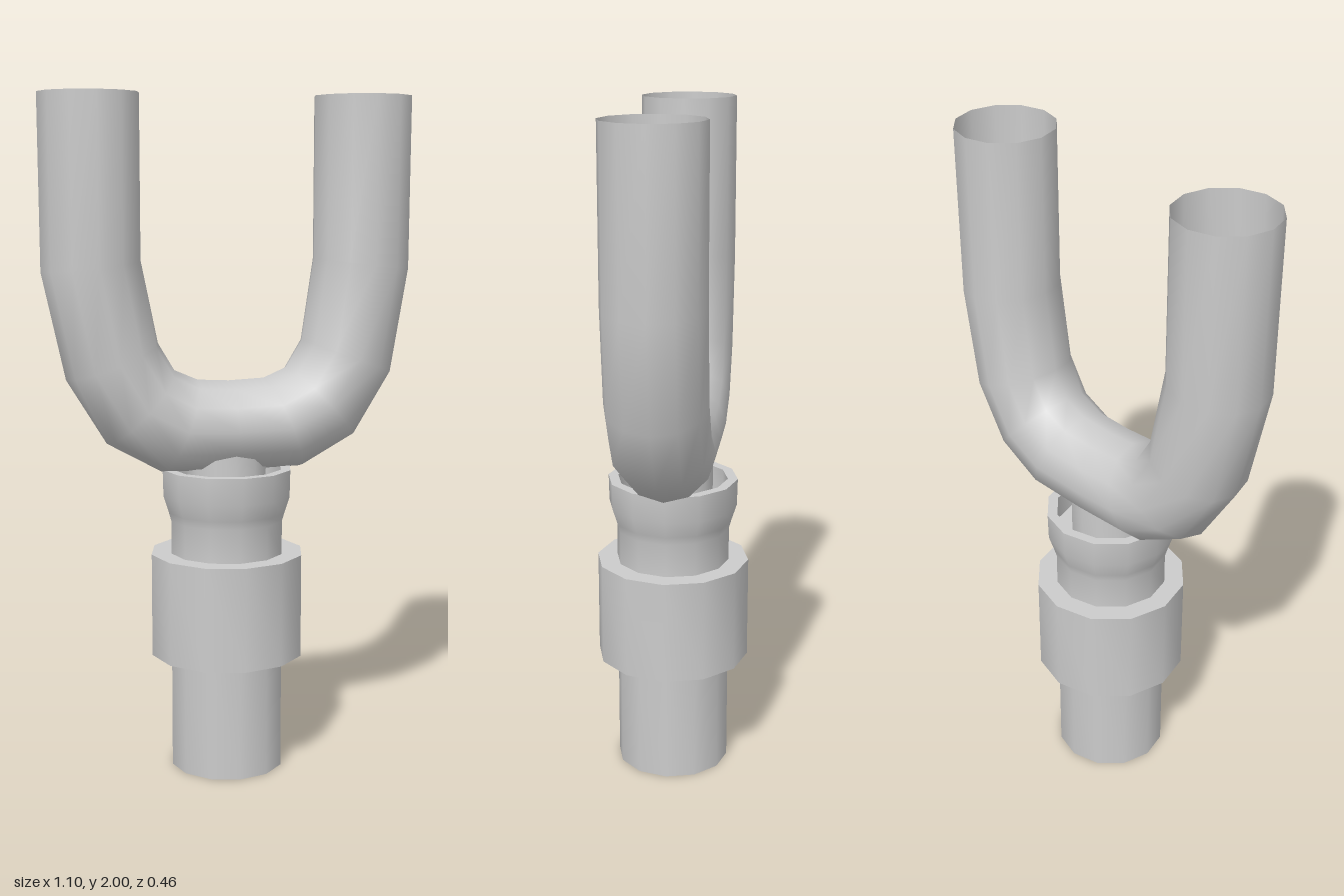
import * as THREE from 'three';
import { toCreasedNormals } from 'three/addons/utils/BufferGeometryUtils.js';

const SIDES = 12;
const material = new THREE.MeshStandardMaterial({ color: 0xcccccc, side: THREE.DoubleSide });

function addMesh(group, name, geometry) {
  const mesh = new THREE.Mesh(geometry, material);
  mesh.name = name;
  group.add(mesh);
  return mesh;
}

// Turned part from [radius, height] pairs, hard edges kept sharp
function turned(profile) {
  const points = profile.map(([r, y]) => new THREE.Vector2(r, y));
  return toCreasedNormals(new THREE.LatheGeometry(points, SIDES), 0.7);
}

// Open pipe skinned over rings given by their outer and inner edge in the xy plane
function bentPipe(rings, halfDepth) {
  const position = [];
  const index = [];
  rings.forEach(([ox, oy, ix, iy], i) => {
    for (let j = 0; j < SIDES; j++) {
      const angle = (j / SIDES) * Math.PI * 2;
      const t = (1 + Math.cos(angle)) / 2;
      position.push(ix + (ox - ix) * t, iy + (oy - iy) * t, halfDepth * Math.sin(angle));
      if (i === rings.length - 1) continue;
      const a = i * SIDES + j;
      const b = i * SIDES + ((j + 1) % SIDES);
      index.push(a, a + SIDES, b, b, a + SIDES, b + SIDES);
    }
  });
  const geometry = new THREE.BufferGeometry();
  geometry.setAttribute('position', new THREE.Float32BufferAttribute(position, 3));
  geometry.setIndex(index);
  geometry.computeVertexNormals();
  return geometry;
}

export function createModel() {
  const model = new THREE.Group();
  model.name = 'forkedPipe';

  // U-shaped fork: outer x, y and inner x, y of each ring, from one arm's top to the middle
  const half = [
    [0.55, 2, 0.26, 2],
    [0.548, 1.5, 0.26, 1.53],
    [0.488, 1.19, 0.218, 1.29],
    [0.372, 1.0, 0.17, 1.21],
    [0.21, 0.91, 0.1, 1.18],
  ];
  // The bend sits slightly towards +x
  const shift = [0, 0, 0.007, 0.007, 0.007];
  const side = (sign) => half.map(([ox, oy, ix, iy], i) =>
    [sign * ox + shift[i], oy, sign * ix + shift[i], iy]);
  const rings = [...side(-1), [0, 0.905, 0, 1.175], ...side(1).reverse()];
  addMesh(model, 'forkPipe', bentPipe(rings, 0.145));

  const stem = new THREE.Group();
  stem.name = 'stem';
  stem.position.x = -0.005;
  model.add(stem);

  // Lower pipe flaring into a cup, whose hollow rises to a neck inside the fork
  addMesh(stem, 'stemPipeAndCup', turned([
    [0.17, 0], [0.17, 0.34], [0.17, 0.66], [0.17, 0.76], [0.177, 0.785], [0.193, 0.835], [0.195, 0.915],
    [0.165, 0.915], [0.165, 0.84], [0.12, 0.84], [0.12, 1.05],
  ]));

  // Thick collar around the pipe
  addMesh(stem, 'collar', turned([
    [0.17, 0.35], [0.23, 0.35], [0.23, 0.66], [0.17, 0.66],
  ]));

  return model;
}
